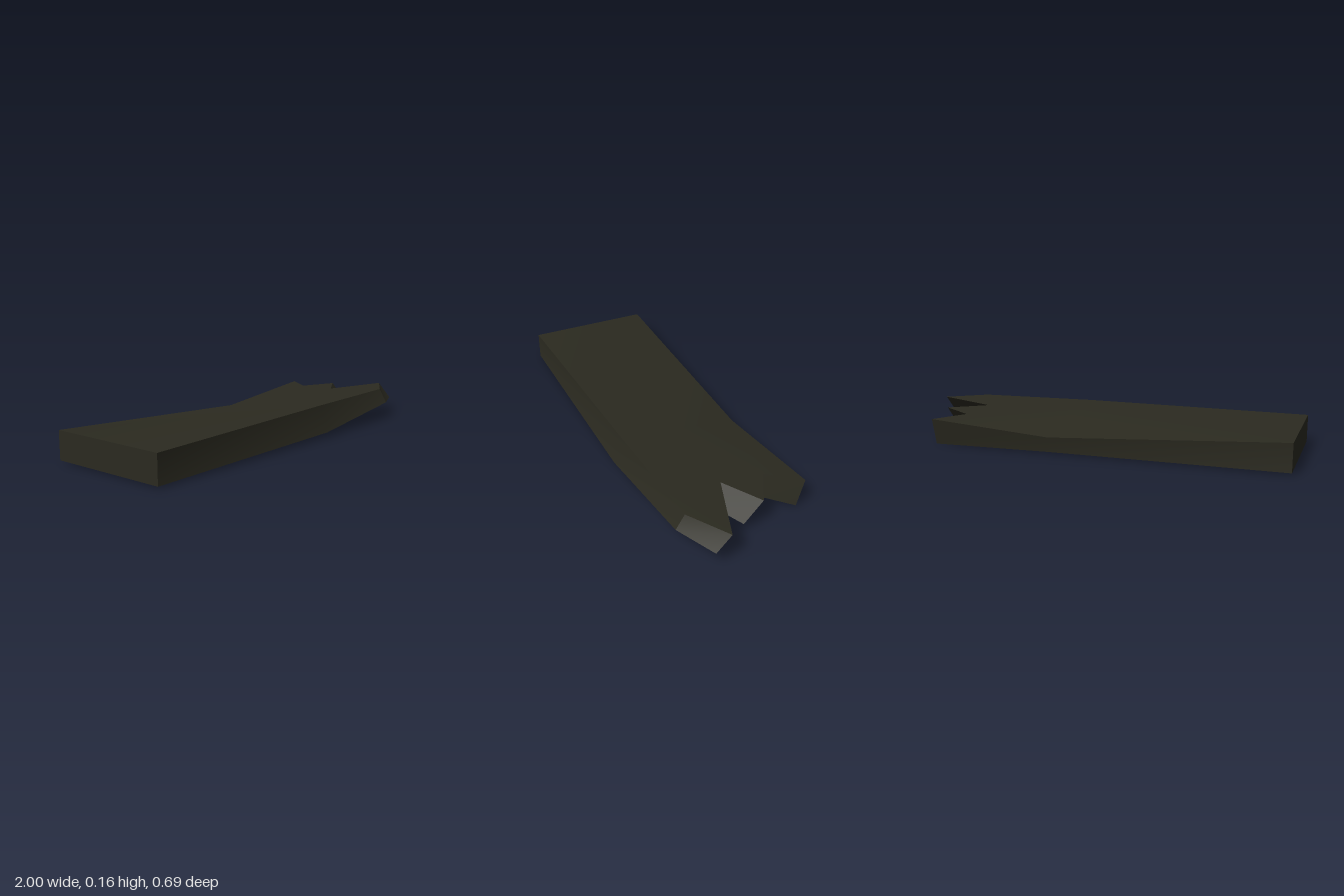
import * as THREE from 'three';
import { toCreasedNormals } from 'three/addons/utils/BufferGeometryUtils.js';

// Plank outline, counter-clockwise from above: [x, top y, top z, bottom y, bottom z]
const outline = [
  [-1.0, 0.15, 0.342, 0.01, 0.342], // sawn end, front
  [0.18, 0.16, 0.3, 0.025, 0.344], // bend, front
  [0.805, 0.157, 0.268, 0.085, 0.311],
  [1.0, 0.154, 0.143, 0.077, 0.217], // long splinter
  [0.67, 0.15, 0.022, 0.06, 0.101], // notch
  [0.857, 0.146, -0.093, 0.043, 0.001], // middle splinter
  [0.69, 0.141, -0.19, 0.025, -0.155], // notch
  [0.805, 0.137, -0.344, 0.0, -0.307], // back splinter
  [0.18, 0.084, -0.313, 0.006, -0.295], // dented bend, back
  [-1.0, 0.15, -0.294, 0.01, -0.294], // sawn end, back
];
const top = outline.map(([x, y, z]) => new THREE.Vector3(x, y, z));
const bottom = outline.map(([x, , , y, z]) => new THREE.Vector3(x, y, z));

// Triangles shared by the top and bottom: straight half, then splinters
const faces = [
  [0, 1, 9], [1, 8, 9],
  [1, 2, 3], [1, 3, 4], [4, 5, 6], [1, 4, 6], [1, 6, 8], [6, 7, 8],
];

function plankGeometry() {
  const points = [];
  for (const [a, b, c] of faces) {
    points.push(top[a], top[b], top[c], bottom[a], bottom[c], bottom[b]);
  }
  // Long edges, sawn end and broken faces
  for (let i = 0; i < outline.length; i++) {
    const j = (i + 1) % outline.length;
    points.push(bottom[i], bottom[j], top[j], bottom[i], top[j], top[i]);
  }
  const geometry = new THREE.BufferGeometry().setFromPoints(points);
  geometry.computeVertexNormals();
  return toCreasedNormals(geometry, 0.4);
}

export function createModel() {
  const darkWood = new THREE.MeshStandardMaterial({ color: 0x2b2a20 });
  darkWood.name = 'darkWood';
  const plank = new THREE.Mesh(plankGeometry(), darkWood);
  plank.name = 'brokenPlank';
  const group = new THREE.Group();
  group.name = 'splinteredBoard';
  group.add(plank);
  return group;
}
